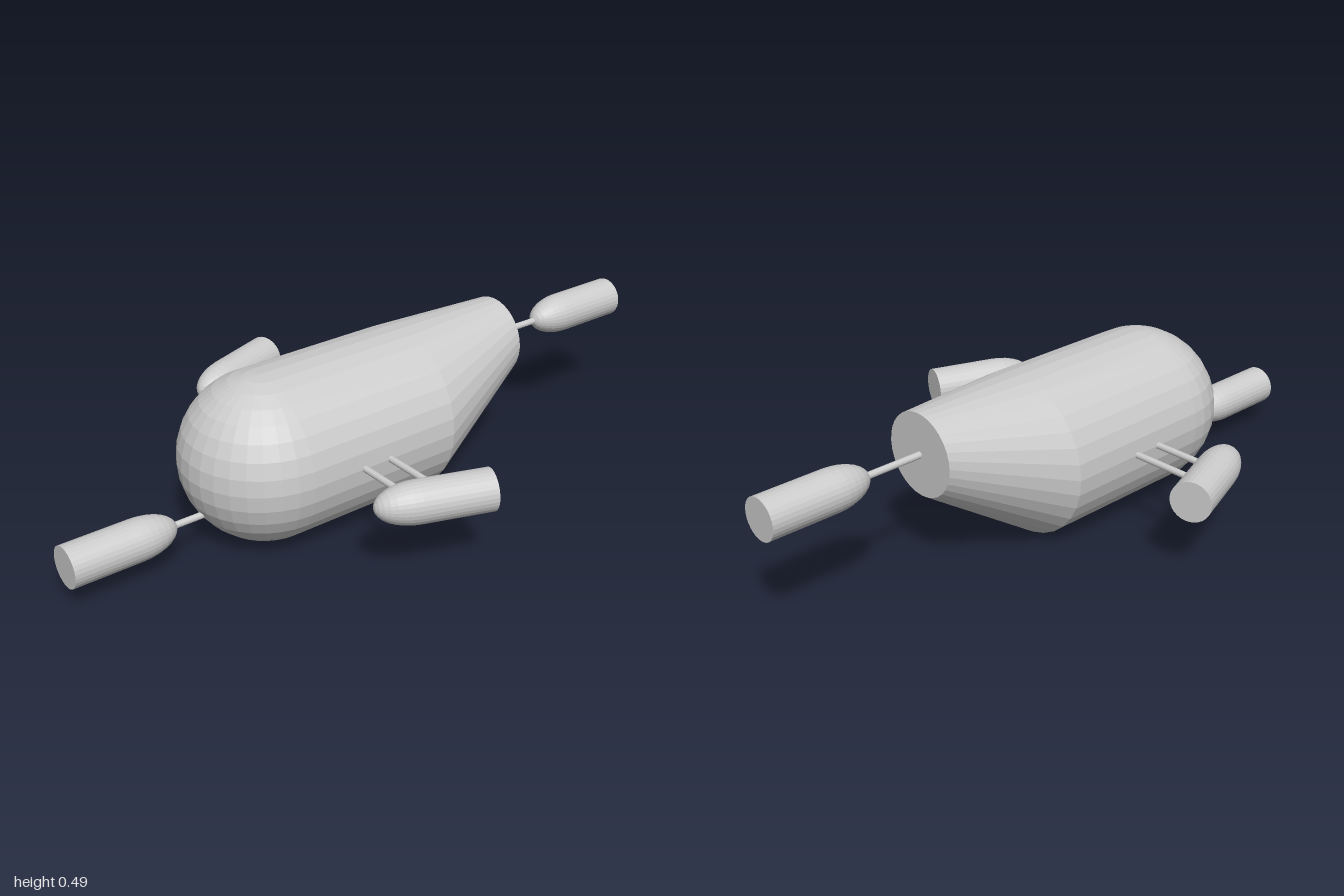
import * as THREE from 'three';

const R = 0.247;        // hull radius, also the height of its axis
const POD_R = 0.061;
const POD_HALF = 0.1665;
const SIDES = 32;

export function createModel() {
  const model = new THREE.Group();
  const material = new THREE.MeshStandardMaterial({ color: 0xcccccc, flatShading: true });

  const add = (name, geometry, x = 0, y = 0, z = 0, turn = 0) => {
    const mesh = new THREE.Mesh(geometry, material);
    mesh.name = name;
    mesh.position.set(x, y, z);
    mesh.rotation.y = turn;
    model.add(mesh);
  };

  // Hull: half-sphere nose and straight midsection
  add('nose', new THREE.SphereGeometry(R, SIDES / 2, SIDES / 2, 0, Math.PI), 0, R, 0.37);
  const mid = new THREE.CylinderGeometry(R, R, 0.493, SIDES, 1, true).rotateX(Math.PI / 2);
  add('hull', mid, 0, R, 0.1235);

  // Tail: cone sheared upward so its top stays level with the hull
  const tailLength = 0.37;
  const tail = new THREE.CylinderGeometry(R, R / 2, tailLength, SIDES).rotateX(Math.PI / 2);
  const p = tail.attributes.position;
  for (let i = 0; i < p.count; i++) {
    p.setY(i, p.getY(i) + (0.5 - p.getZ(i) / tailLength) * R / 2);
  }
  tail.computeVertexNormals();
  add('tail', tail, 0, R, -0.123 - tailLength / 2);

  // Pod: flat base, straight sides and a stretched round tip pointing to +z
  const tipLength = POD_R * 2;
  const profile = [new THREE.Vector2(0, -POD_HALF), new THREE.Vector2(POD_R, -POD_HALF)];
  for (let i = 0; i <= 8; i++) {
    const a = (i / 8) * Math.PI / 2;
    profile.push(new THREE.Vector2(
      i === 8 ? 0 : POD_R * Math.cos(a),
      POD_HALF - tipLength + tipLength * Math.sin(a)));
  }
  const pod = new THREE.LatheGeometry(profile, 30).rotateX(Math.PI / 2);

  add('frontPod', pod, 0, R / 2, 1 - POD_HALF, Math.PI);
  add('rearPod', pod, 0, R * 1.5, -1 + POD_HALF);

  // Rods carrying the front and rear pods
  const lengthRod = new THREE.CylinderGeometry(0.01, 0.01, 0.3, 16).rotateX(Math.PI / 2);
  add('frontRod', lengthRod, 0, R / 2, 0.58);
  add('rearRod', lengthRod, 0, R * 1.5, -0.59);

  // Angled side pods, each on a pair of rods
  const sideRod = new THREE.CylinderGeometry(0.01, 0.01, 0.28, 16).rotateZ(Math.PI / 2);
  for (const [side, s] of [['left', 1], ['right', -1]]) {
    add(side + 'Pod', pod, s * 0.482, R, 0.158, -s * Math.PI / 9);
    for (const z of [0.111, 0.201]) add(side + 'Rod', sideRod, s * 0.34, R, z);
  }

  return model;
}
